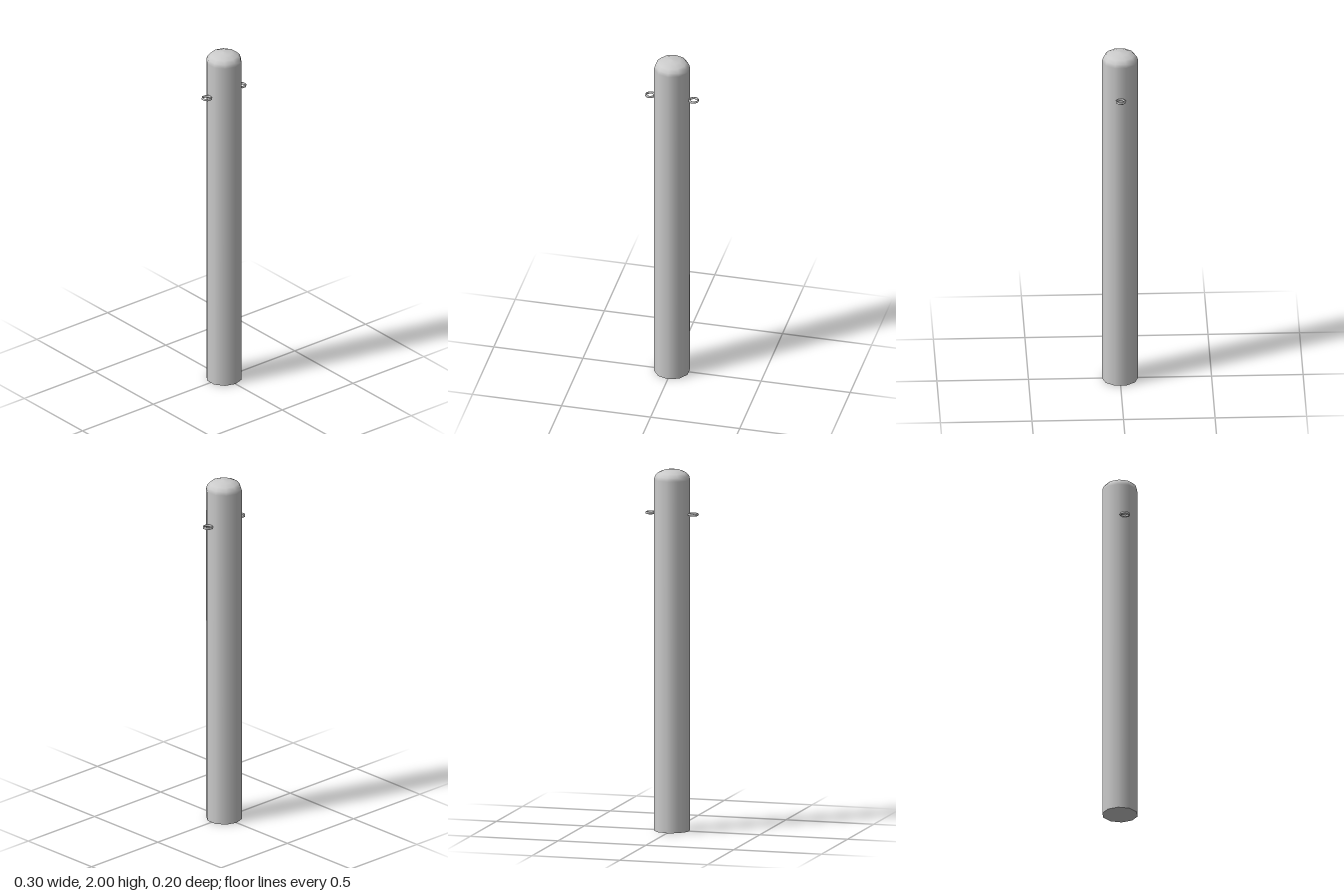
import * as THREE from 'three';

export function createModel() {
  const model = new THREE.Group();
  const material = new THREE.MeshStandardMaterial({ color: 0xcccccc });
  const sides = 10, radius = 0.099;
  const add = (name, geometry) => {
    const mesh = new THREE.Mesh(geometry, material);
    mesh.name = name;
    model.add(mesh);
    return mesh;
  };

  // Ten-sided post with a shallow domed top
  const profile = [
    [radius, 0], [radius, 1.945], [0.093, 1.965], [0.078, 1.982], [0.046, 1.995], [0, 2],
  ].map(([r, y]) => new THREE.Vector2(r, y));
  add('post', new THREE.LatheGeometry(profile, sides));

  // Flat underside
  add('postBase', new THREE.CircleGeometry(radius, sides, Math.PI / 2).rotateX(Math.PI / 2));

  // Octagonal rope eyes, one on each side
  for (const [name, side] of [['leftRing', 1], ['rightRing', -1]]) {
    const ring = new THREE.TorusGeometry(0.0245, 0.005, 8, 8)
      .rotateZ(Math.PI / 8)
      .rotateX(Math.PI / 2)
      .scale(1, 1.4, 1);
    add(name, ring).position.set(side * 0.122, 1.755, 0);
  }

  return model;
}
